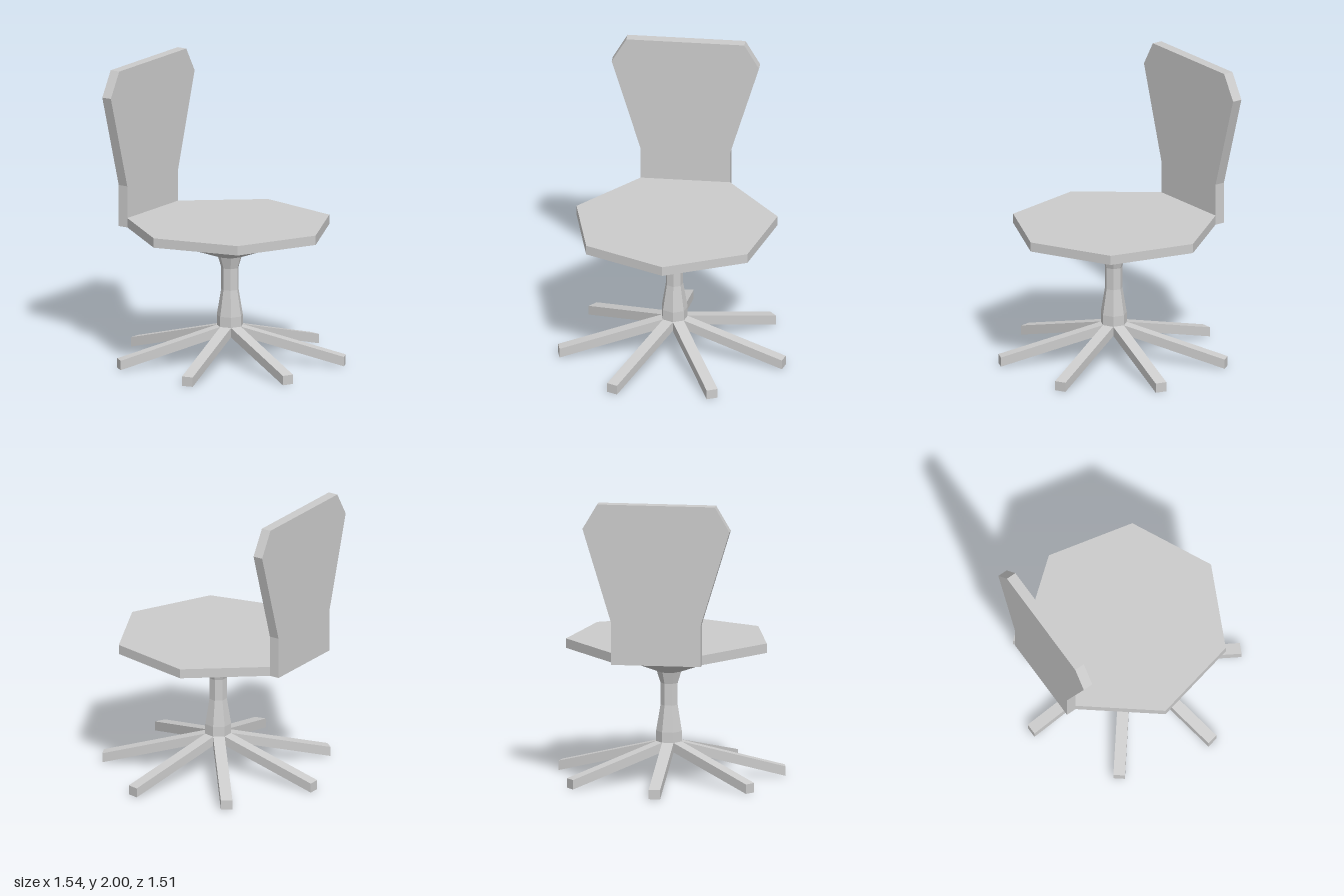
import * as THREE from 'three';

const SIDES = 7;
const STEP = (Math.PI * 2) / SIDES;

export function createModel() {
  const chair = new THREE.Group();
  chair.name = 'swivelChair';
  const material = new THREE.MeshStandardMaterial({ color: 0xcccccc, flatShading: true });

  const add = (name, geometry) => {
    const mesh = new THREE.Mesh(geometry, material);
    mesh.name = name;
    chair.add(mesh);
    return mesh;
  };
  const vectors = (points) => points.map(([x, y]) => new THREE.Vector2(x, y));
  const lathe = (points) => new THREE.LatheGeometry(vectors(points), SIDES);
  const extrude = (points, depth) =>
    new THREE.ExtrudeGeometry(new THREE.Shape(vectors(points)), { depth, bevelEnabled: false });

  // Seven-sided seat with a stepped cone underneath
  add('seat', lathe([[0.085, 0.73], [0.415, 0.85], [0.7, 0.9], [0.7, 0.965], [0, 0.965]]));

  // Pinched column, ending in the hub that carries the legs
  add('column', lathe([
    [0, 0.185], [0.09, 0.185], [0.09, 0.25], [0.09, 0.32],
    [0.06, 0.5], [0.06, 0.65], [0.085, 0.73],
  ]));

  // Backrest, flush with the rear side of the seat
  const backrest = add('backrest', extrude([
    [-0.304, 0.9], [0.304, 0.9], [0.304, 1.185], [0.5, 1.83],
    [0.4, 2], [-0.4, 2], [-0.5, 1.83], [-0.304, 1.185],
  ], 0.07));
  backrest.position.z = -0.701;

  // Sloping legs, one from each side of the hub
  const width = 0.078;
  const legGeometry = extrude([[0.08, 0.185], [0.783, 0], [0.783, 0.065], [0.08, 0.25]], width);
  legGeometry.translate(0, 0, -width / 2);
  for (let i = 0; i < SIDES; i++) {
    add('leg' + (i + 1), legGeometry).rotation.y = (i + 0.5) * STEP - Math.PI / 2;
  }

  // Slight turn and offset of the whole chair
  chair.rotation.y = THREE.MathUtils.degToRad(0.8);
  chair.position.set(-0.005, 0, 0.03);
  const model = new THREE.Group();
  model.name = 'chair';
  model.add(chair);
  return model;
}
